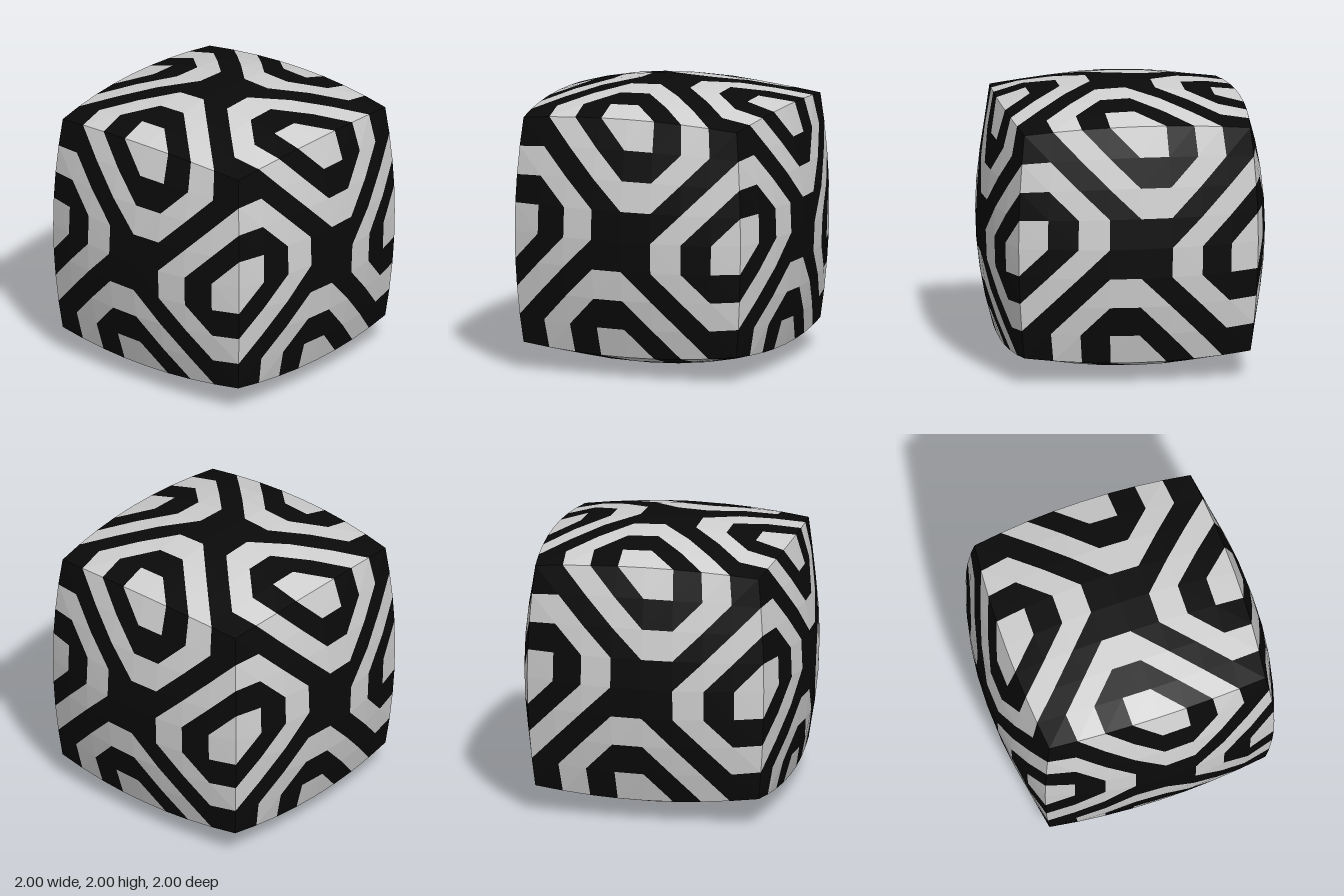
import * as THREE from 'three';

const black = new THREE.MeshStandardMaterial({ color: 0x0a0a0a, flatShading: true });
black.name = 'black';
const paleGrey = new THREE.MeshStandardMaterial({ color: 0xd0d0d0, flatShading: true });
paleGrey.name = 'pale grey';

const N = 4; // grid cells from face centre to face edge

// Pillowed cube face: (u, v) in -1..1 maps to in-plane offsets and height
function pillow(u, v, stretch) {
  const a = u * u, b = v * v;
  const fade = 0.018 * stretch * (1 - a) * (1 - b);
  return [
    u * (0.88 - 0.027 * a - 0.08 * b + 0.032 * a * b + fade),
    v * (0.88 - 0.027 * b - 0.08 * a + 0.032 * a * b - fade),
    1 - 0.147 * (a + b) + 0.099 * a * b,
  ];
}

// Pinwheel stripes in one quadrant: nested bands seen from two neighbouring edges
function isPale(x, y) {
  let level = 0;
  for (let k = 1; k < N; k++) {
    const upper = y > k && x < Math.min(1 + y - k, N - k);
    const side = x - y > k;
    if (upper || side) level++;
  }
  return level % 2 === 1;
}

function makeFace(name, h, v, stretch) {
  const H = new THREE.Vector3(...h), V = new THREE.Vector3(...v);
  const normal = H.clone().cross(V);
  const dark = [], pale = [];

  const addTriangle = (corners, turn) => {
    const cx = (corners[0][0] + corners[1][0] + corners[2][0]) / 3;
    const cy = (corners[0][1] + corners[1][1] + corners[2][1]) / 3;
    const target = isPale(cx, cy) ? pale : dark;
    for (let [x, y] of corners) {
      for (let t = 0; t < turn; t++) [x, y] = [-y, x];
      const [a, b, c] = pillow(x / N, y / N, stretch);
      const p = new THREE.Vector3()
        .addScaledVector(H, a).addScaledVector(V, b).addScaledVector(normal, c);
      target.push(p.x, p.y + 1, p.z);
    }
  };

  // One quadrant of diagonally split cells, turned four times
  for (let turn = 0; turn < 4; turn++) {
    for (let i = 0; i < N; i++) {
      for (let j = 0; j < N; j++) {
        addTriangle([[i, j], [i + 1, j], [i + 1, j + 1]], turn);
        addTriangle([[i, j], [i + 1, j + 1], [i, j + 1]], turn);
      }
    }
  }

  const face = new THREE.Group();
  face.name = name;
  for (const [label, points, material] of [['darkStripes', dark, black], ['paleStripes', pale, paleGrey]]) {
    const geometry = new THREE.BufferGeometry();
    geometry.setAttribute('position', new THREE.Float32BufferAttribute(points, 3));
    geometry.computeVertexNormals();
    const mesh = new THREE.Mesh(geometry, material);
    mesh.name = label;
    face.add(mesh);
  }
  return face;
}

export function createModel() {
  const model = new THREE.Group();
  model.name = 'stripedPillowCube';
  // Each face: name, its horizontal and vertical axes, stretch direction
  model.add(
    makeFace('frontFace', [1, 0, 0], [0, 1, 0], 1),
    makeFace('backFace', [-1, 0, 0], [0, 1, 0], 1),
    makeFace('leftFace', [0, 0, -1], [0, 1, 0], 1),
    makeFace('rightFace', [0, 0, 1], [0, 1, 0], 1),
    makeFace('topFace', [1, 0, 0], [0, 0, -1], -1),
    makeFace('bottomFace', [1, 0, 0], [0, 0, 1], -1),
  );
  return model;
}
